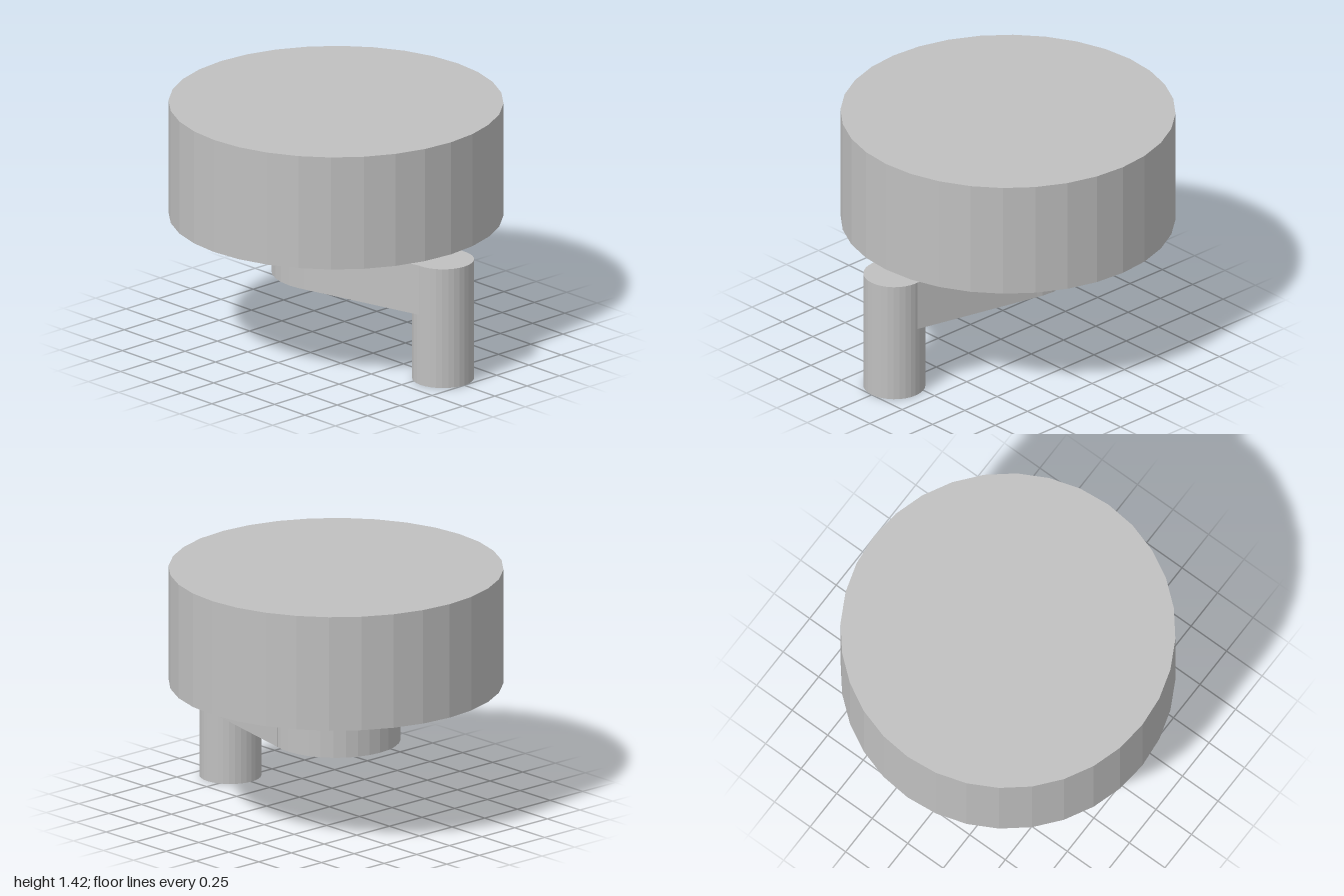
import * as THREE from 'three';

export function createModel() {
  const model = new THREE.Group();
  const grey = new THREE.MeshStandardMaterial({ color: 0xc0c0c0, flatShading: true });
  grey.name = 'light grey';

  const add = (name, geometry) => {
    const mesh = new THREE.Mesh(geometry, grey);
    mesh.name = name;
    model.add(mesh);
  };

  // Upright faceted cylinder between two heights, centred on x = 0
  const disc = (name, radius, bottom, top, z) =>
    add(name, new THREE.CylinderGeometry(radius, radius, top - bottom, 32)
      .translate(0, (bottom + top) / 2, z));

  const axisZ = -0.055;
  disc('wheel', 0.945, 0.755, 1.425, axisZ);
  disc('hub', 0.365, 0.415, 0.755, axisZ);
  disc('crankPin', 0.175, 0, 0.71, 0.825);

  // Tapered arm from hub to pin; shape y becomes z
  const outline = new THREE.Shape([
    new THREE.Vector2(-0.35, 0.05),
    new THREE.Vector2(0.35, 0.05),
    new THREE.Vector2(0.174, 0.81),
    new THREE.Vector2(-0.174, 0.81),
  ]);
  add('crankArm', new THREE.ExtrudeGeometry(outline, { depth: 0.295, bevelEnabled: false })
    .rotateX(Math.PI / 2)
    .translate(0, 0.71, 0));

  return model;
}
